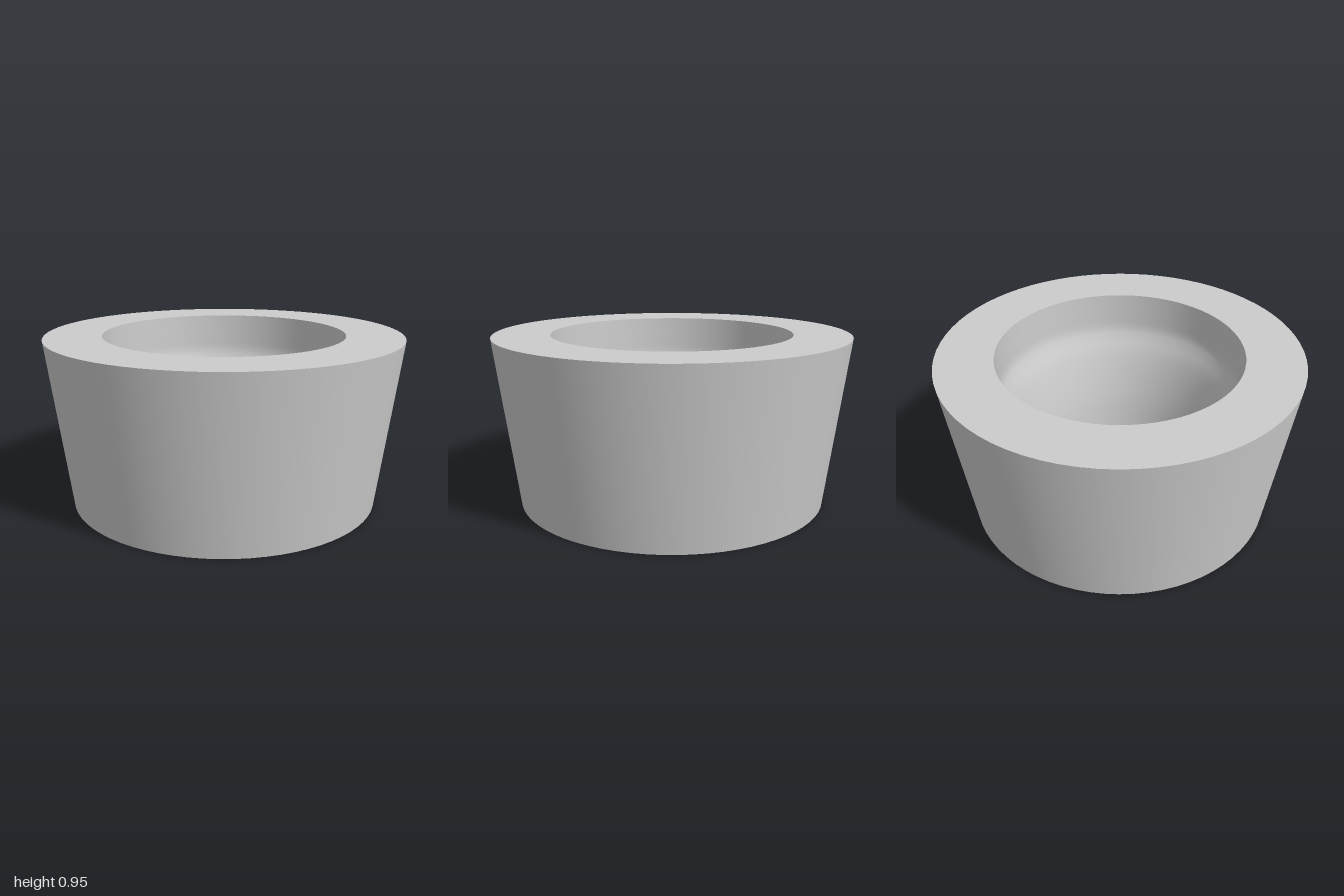
import * as THREE from 'three';
import { toCreasedNormals } from 'three/addons/utils/BufferGeometryUtils.js';

const HEIGHT = 0.95;

export function createModel() {
  const group = new THREE.Group();
  group.name = 'taperedRing';

  // Throat: a nearly straight upper wall easing into a funnel that narrows to the bore
  const throat = new THREE.SplineCurve([
    [0.68, HEIGHT], [0.675, 0.82], [0.67, 0.73], [0.65, 0.67],
    [0.61, 0.58], [0.565, 0.43], [0.525, 0.24], [0.5, 0],
  ].map(([r, y]) => new THREE.Vector2(r, y))).getPoints(28);

  // Closed section: outer taper, flat rim, throat, flat base
  const profile = [
    new THREE.Vector2(0.88, 0),
    new THREE.Vector2(1, HEIGHT),
    ...throat,
    new THREE.Vector2(0.88, 0),
  ];

  const geometry = toCreasedNormals(new THREE.LatheGeometry(profile, 72), Math.PI / 5);
  const body = new THREE.Mesh(geometry, new THREE.MeshStandardMaterial({ color: 0xcccccc }));
  body.name = 'ringBody';
  group.add(body);
  return group;
}
